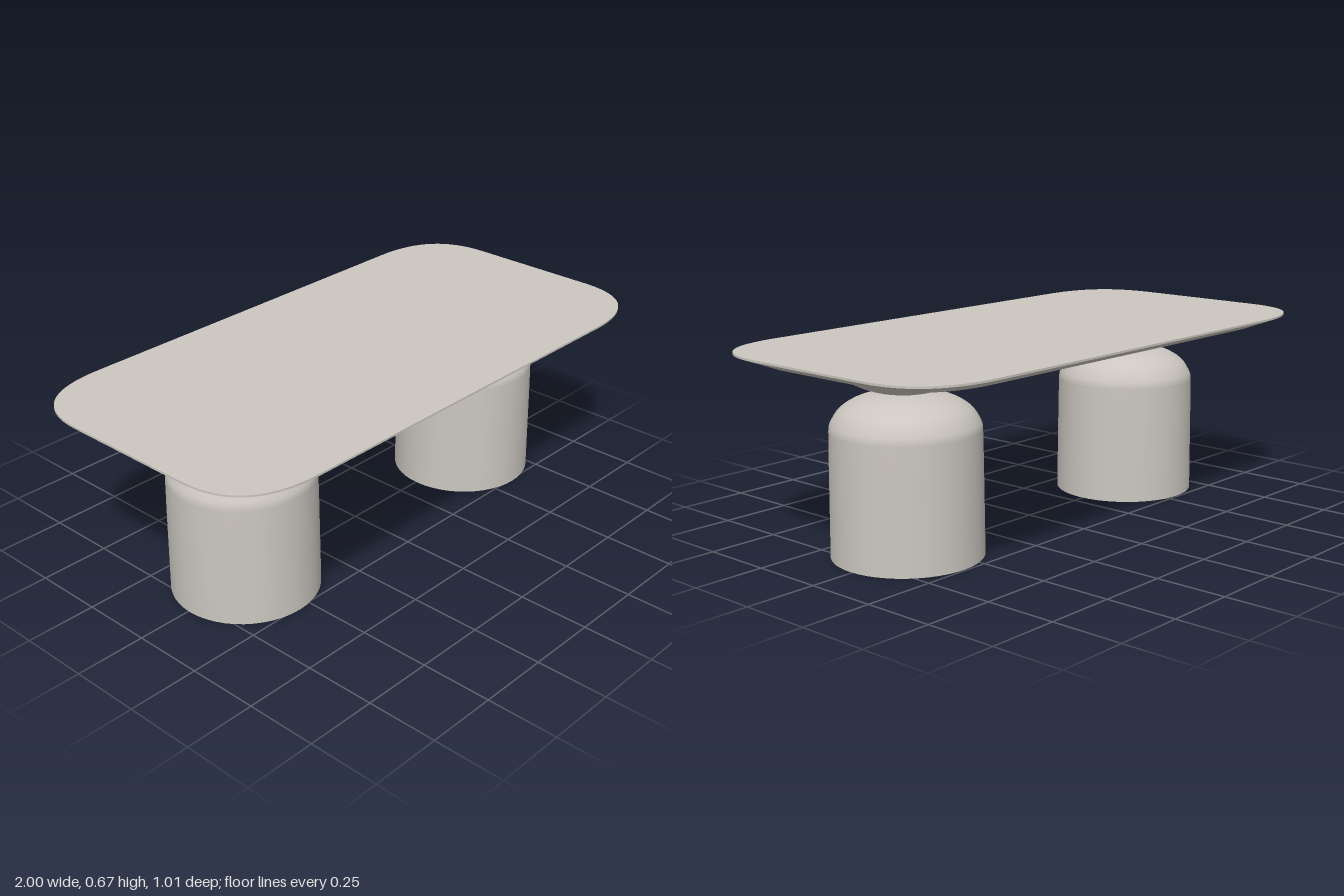
import * as THREE from 'three';

const stone = new THREE.MeshStandardMaterial({ color: 0xcbc6bf });
stone.name = 'warm stone';

// Rounded rectangle with soft, flowing corners (half sizes hx, hy)
function topShape(hx, hy, cx, cy) {
  const s = new THREE.Shape();
  s.moveTo(-hx + cx, -hy);
  s.lineTo(hx - cx, -hy);
  s.quadraticCurveTo(hx, -hy, hx, -hy + cy);
  s.lineTo(hx, hy - cy);
  s.quadraticCurveTo(hx, hy, hx - cx, hy);
  s.lineTo(-hx + cx, hy);
  s.quadraticCurveTo(-hx, hy, -hx, hy - cy);
  s.lineTo(-hx, -hy + cy);
  s.quadraticCurveTo(-hx, -hy, -hx + cx, -hy);
  return s;
}

// Closed strip between two outlines at different heights
function band(lower, y0, upper, y1) {
  const a = lower.getPoints(16).slice(0, -1);
  const b = upper.getPoints(16).slice(0, -1);
  const n = a.length, pos = [], idx = [];
  a.forEach((p, i) => pos.push(p.x, y0, -p.y, b[i].x, y1, -b[i].y));
  for (let i = 0; i < n; i++) {
    const j = (i + 1) % n;
    idx.push(2 * i, 2 * j, 2 * j + 1, 2 * i, 2 * j + 1, 2 * i + 1);
  }
  const g = new THREE.BufferGeometry();
  g.setAttribute('position', new THREE.Float32BufferAttribute(pos, 3));
  g.setIndex(idx);
  g.computeVertexNormals();
  return g;
}

function add(parent, name, geometry) {
  const m = new THREE.Mesh(geometry, stone);
  m.name = name;
  parent.add(m);
  return m;
}

const curve = (pts, n) => new THREE.SplineCurve(pts.map(p => new THREE.Vector2(...p))).getPoints(n);

function createLeg() {
  const leg = new THREE.Group();
  // Drum with a domed shoulder
  const dome = curve([[0.247, 0.42], [0.241, 0.445], [0.212, 0.487], [0.158, 0.519], [0.08, 0.539], [0, 0.543]], 20);
  add(leg, 'drum', new THREE.LatheGeometry([new THREE.Vector2(0.252, 0), new THREE.Vector2(0.249, 0.3), ...dome], 48));
  add(leg, 'drumBase', new THREE.CircleGeometry(0.252, 48).rotateX(Math.PI / 2));
  // Shallow bowl carrying the top
  const bowl = curve([[0, 0.539], [0.06, 0.541], [0.125, 0.556], [0.19, 0.586], [0.222, 0.611], [0.238, 0.632]], 18);
  add(leg, 'bowl', new THREE.LatheGeometry(bowl, 48));
  return leg;
}

export function createModel() {
  const table = new THREE.Group();
  table.name = 'table';

  // Table top: thin lip above a wide under-bevel
  const outer = topShape(1, 0.505, 0.3, 0.26);
  const inner = topShape(0.92, 0.425, 0.28, 0.24);
  const top = new THREE.Group();
  top.name = 'tableTop';
  table.add(top);
  add(top, 'topFace', new THREE.ShapeGeometry(outer, 16).rotateX(-Math.PI / 2)).position.y = 0.67;
  add(top, 'lip', band(outer, 0.663, outer, 0.67));
  add(top, 'bevel', band(inner, 0.63, outer, 0.663));
  add(top, 'underside', new THREE.ShapeGeometry(inner, 16).rotateX(Math.PI / 2)).position.y = 0.63;

  // Two pedestal legs
  for (const [name, x] of [['rightLeg', -0.55], ['leftLeg', 0.588]]) {
    const leg = createLeg();
    leg.name = name;
    leg.position.set(x, 0, 0.008);
    table.add(leg);
  }
  return table;
}
